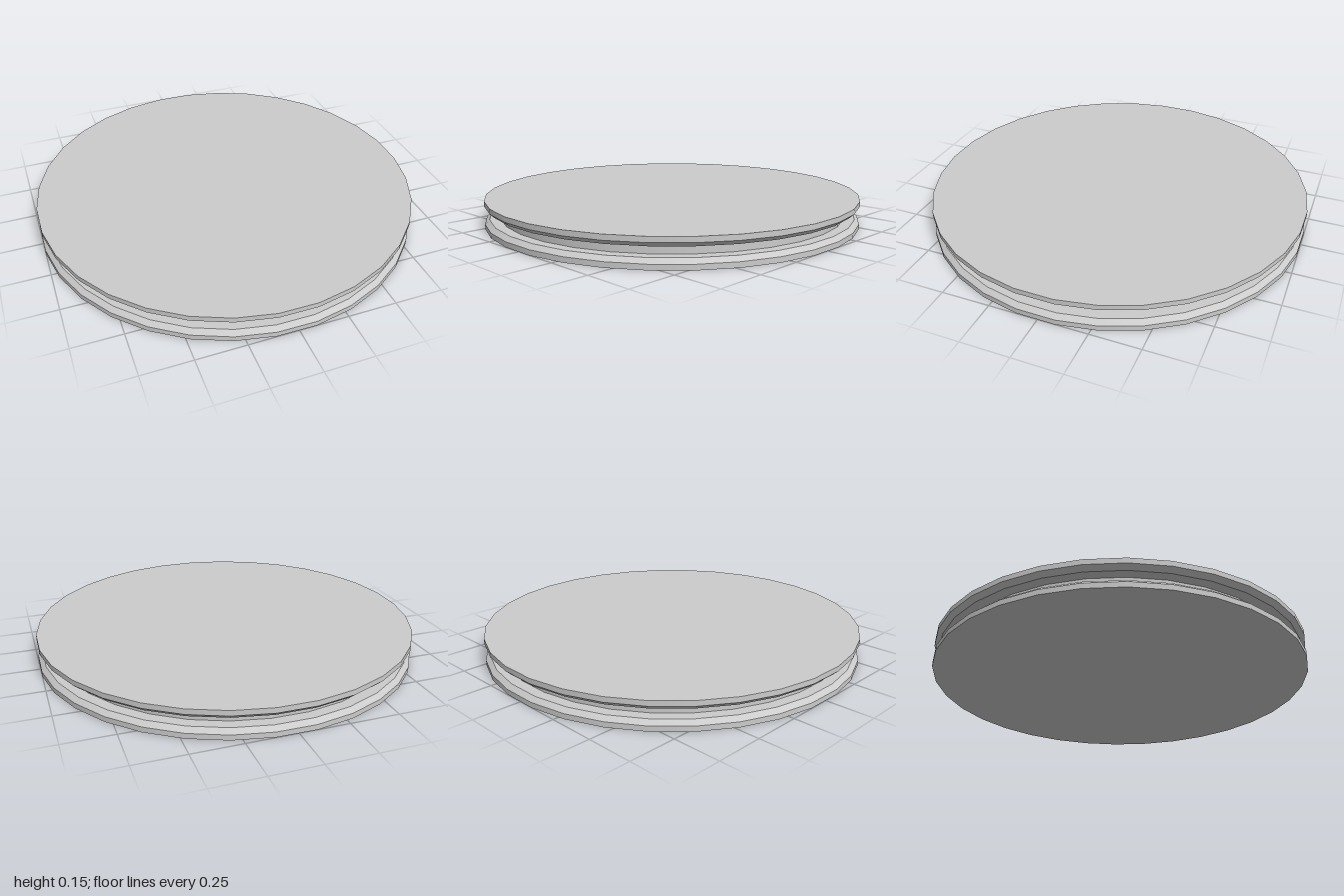
import * as THREE from 'three';
import { mergeGeometries } from 'three/addons/utils/BufferGeometryUtils.js';

const SIDES = 32;
const R = 1.004;       // flange rim radius
const LIP = 0.98;      // inner end of the flange bevel
const CORE = 0.925;    // groove floor radius
const H = 0.147;       // total height

const material = new THREE.MeshStandardMaterial({ color: 0xcccccc });

// Turned surface, smooth around the axis and sharp at every profile corner
function turned(name, profile) {
  const bands = [];
  for (let i = 0; i < profile.length - 1; i++) {
    const ends = [profile[i], profile[i + 1]].map(([r, y]) => new THREE.Vector2(r, y));
    bands.push(new THREE.LatheGeometry(ends, SIDES));
  }
  const mesh = new THREE.Mesh(mergeGeometries(bands), material);
  mesh.name = name;
  return mesh;
}

export function createModel() {
  const group = new THREE.Group();
  group.name = 'groovedDisc';

  // Flange profile from the outer face, round the rim and bevel, to the groove
  const flange = [[0, 0], [R, 0], [R, 0.027], [LIP, 0.049], [CORE, 0.049]];
  const mirrored = flange.map(([r, y]) => [r, H - y]).reverse();

  group.add(
    turned('lowerFlange', flange),
    turned('grooveCore', [[CORE, 0.049], [CORE, H - 0.049]]),
    turned('upperFlange', mirrored)
  );

  // Flat sides face the axes, with a slight twist
  group.rotation.y = Math.PI / SIDES - 0.01;
  return group;
}
